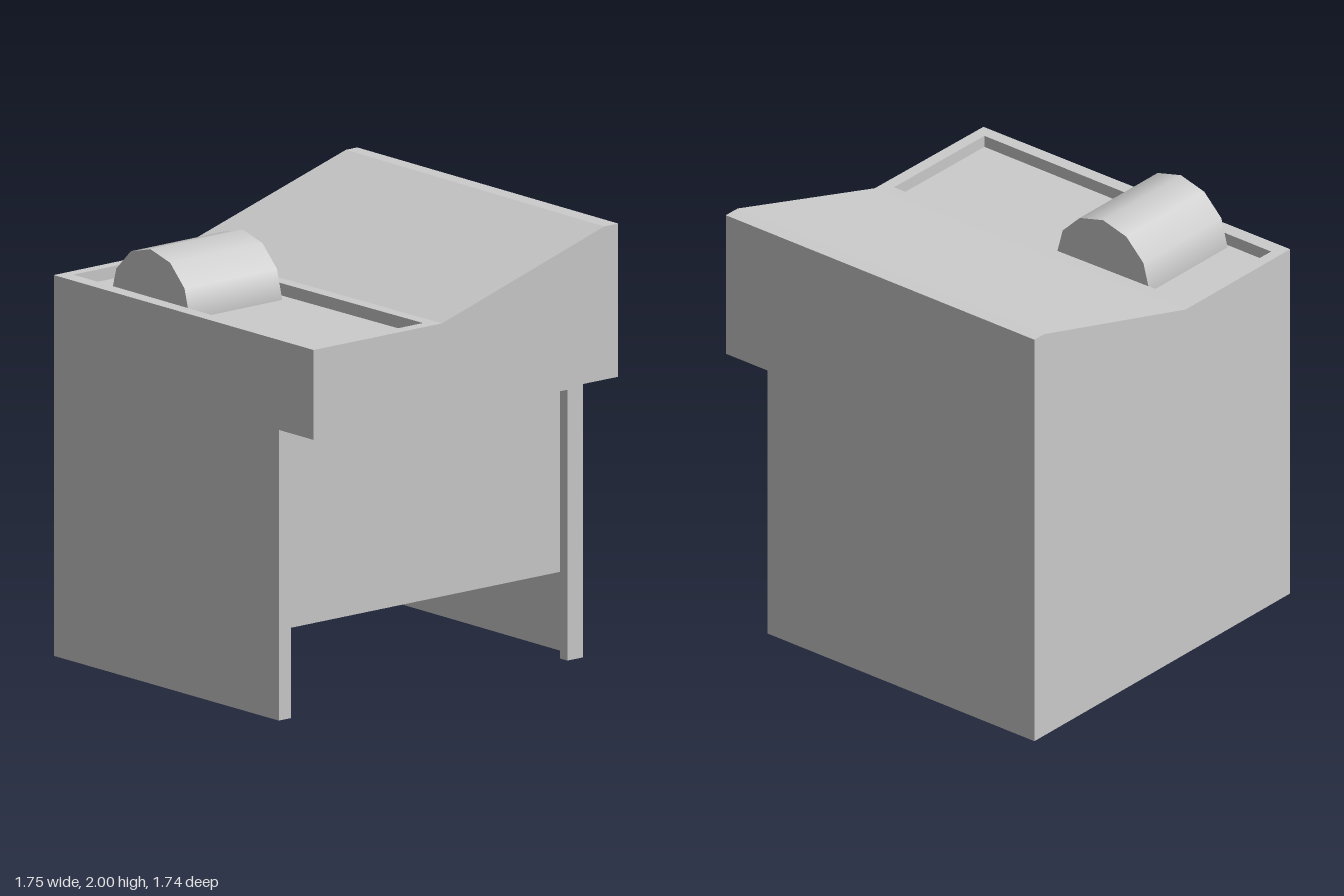
import * as THREE from 'three';

const material = new THREE.MeshStandardMaterial({ color: 0xcccccc, side: THREE.DoubleSide });

// Flat sheet part made of convex polygons, each a list of [x, y, z] corners (counter-clockwise from outside)
function sheet(name, ...polygons) {
  const positions = [];
  for (const p of polygons) {
    for (let i = 1; i < p.length - 1; i++) positions.push(...p[0], ...p[i], ...p[i + 1]);
  }
  const geometry = new THREE.BufferGeometry();
  geometry.setAttribute('position', new THREE.Float32BufferAttribute(positions, 3));
  geometry.computeVertexNormals();
  const mesh = new THREE.Mesh(geometry, material);
  mesh.name = name;
  return mesh;
}

// Band of quads joining two matching four-cornered loops
function band(name, a, b) {
  return sheet(name, ...a.map((p, i) => {
    const j = (i + 1) % a.length;
    return [p, a[j], b[j], b[i]];
  }));
}

export function createModel() {
  const model = new THREE.Group();
  model.name = 'cabinet';

  // Main levels; the right-hand side is slightly out of square
  const left = -0.88, back = -0.87, frontL = 0.87, frontR = 0.86;
  const ledge = 1.31, deck = 1.715, top = 2, floor = 1.66;
  const upper = (y, z) => [0.865 - 0.011 * z, y, z];
  const lower = (y, z) => [0.63 - 0.01 * z, y, z];
  const inner = (y, z) => [0.58 - 0.01 * z, y, z];
  const L = (y, z) => [left, y, z];

  // Outer walls, open underneath
  model.add(
    sheet('frontWall',
      [L(0, frontL), lower(0, frontR), lower(ledge, frontR), L(ledge, frontL)],
      [L(ledge, frontL), upper(ledge, frontR), upper(deck, frontR), L(deck, frontL)]),
    sheet('backWall',
      [lower(0, back), L(0, back), L(ledge, back), lower(ledge, back)],
      [upper(ledge, back), L(ledge, back), L(top, back), upper(top, back)]),
    sheet('rightWall',
      [L(0, 0.16), L(0, frontL), L(deck, frontL), L(deck, 0.16)],
      [L(0, back), L(0, 0.16), L(deck, 0.16), L(top, -0.805), L(top, back)]),
    sheet('overhangSide',
      [upper(ledge, frontR), upper(ledge, 0.13), upper(deck, 0.13), upper(deck, frontR)],
      [upper(ledge, 0.13), upper(ledge, back), upper(top, back), upper(top, -0.79), upper(deck, 0.13)]),
    sheet('overhangUnderside',
      [lower(ledge, frontR), lower(ledge, back), upper(ledge, back), upper(ledge, frontR)]),
    sheet('slopedTop', [L(deck, 0.16), upper(deck, 0.13), upper(top, -0.79), L(top, -0.805)]),
    sheet('topRidge', [L(top, -0.805), upper(top, -0.79), upper(top, back), L(top, back)]),
  );

  // Left side opening: posts, lintel, reveals and the short recessed panel
  const z0 = 0.79, z1 = -0.78, head = 1.22, panelFoot = 0.39;
  model.add(
    sheet('openingFrame',
      [lower(0, frontR), lower(0, z0), lower(ledge, z0), lower(ledge, frontR)],
      [lower(0, z1), lower(0, back), lower(ledge, back), lower(ledge, z1)],
      [lower(head, z0), lower(head, z1), lower(ledge, z1), lower(ledge, z0)]),
    sheet('openingReveal',
      [lower(0, z0), inner(0, z0), inner(head, z0), lower(head, z0)],
      [inner(0, z1), lower(0, z1), lower(head, z1), inner(head, z1)],
      [lower(head, z0), inner(head, z0), inner(head, z1), lower(head, z1)]),
    sheet('recessedPanel',
      [inner(panelFoot, z0), inner(panelFoot, z1), inner(head, z1), inner(head, z0)]),
  );

  // Sunken tray in the front deck
  const rim = [L(deck, frontL), upper(deck, frontR), upper(deck, 0.13), L(deck, 0.16)];
  const tray = (y) => [[-0.83, y, 0.8], [0.8, y, 0.8], [0.805, y, 0.19], [-0.825, y, 0.22]];
  model.add(
    band('deckRim', rim, tray(deck)),
    band('trayWalls', tray(deck), tray(floor)),
    sheet('trayFloor', tray(floor)),
  );

  // Half drum lying in the tray, with flat ends
  const drum = new THREE.Mesh(
    new THREE.CylinderGeometry(0.265, 0.265, 0.53, 6, 1, false, Math.PI / 2, Math.PI), material);
  drum.name = 'drum';
  drum.rotation.x = Math.PI / 2;
  drum.position.set(-0.33, floor, 0.52);
  model.add(drum);

  return model;
}
